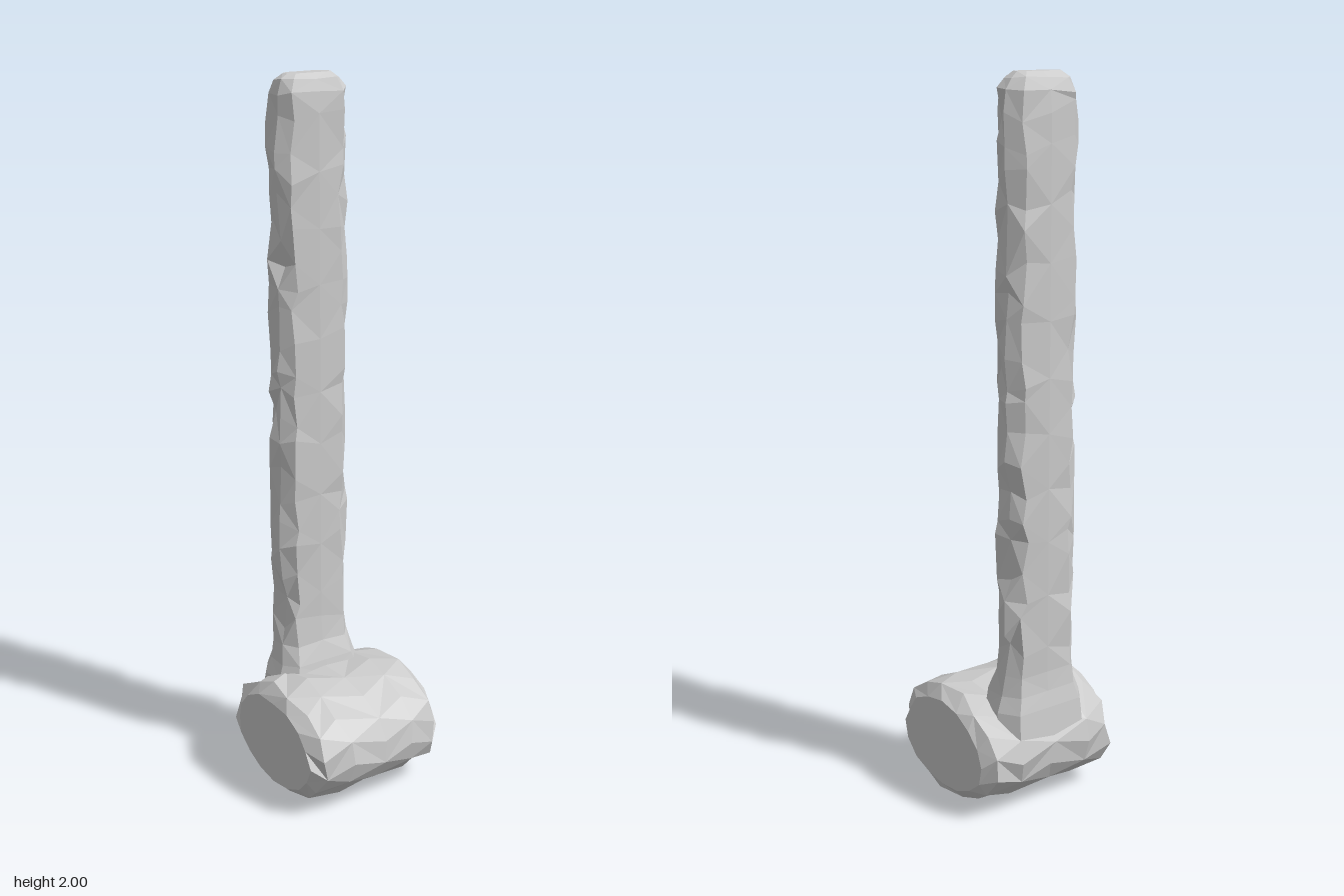
import * as THREE from 'three';

let seed = 11;
const rnd = () => {
  seed = (seed * 16807) % 2147483647;
  return seed / 2147483647;
};
const material = new THREE.MeshStandardMaterial({ color: 0xcccccc, flatShading: true });

// Skin a closed, capped solid over rings of equal point count
function loft(name, rings) {
  const n = rings[0].length, pos = [], idx = [];
  rings.forEach(r => r.forEach(p => pos.push(...p)));
  rings.slice(1).forEach((_, k) => {
    for (let j = 0; j < n; j++) {
      const a = k * n + j, b = k * n + (j + 1) % n, c = b + n, d = a + n;
      if ((j + k) % 2) idx.push(a, b, c, a, c, d);
      else idx.push(a, b, d, b, c, d);
    }
  });
  [0, rings.length - 1].forEach(k => {
    const centre = pos.length / 3;
    for (let i = 0; i < 3; i++) pos.push(rings[k].reduce((s, p) => s + p[i], 0) / n);
    for (let j = 0; j < n; j++) {
      const a = k * n + j, b = k * n + (j + 1) % n;
      idx.push(centre, ...(k ? [a, b] : [b, a]));
    }
  });
  const g = new THREE.BufferGeometry();
  g.setAttribute('position', new THREE.Float32BufferAttribute(pos, 3));
  g.setIndex(idx);
  g.computeVertexNormals();
  const mesh = new THREE.Mesh(g, material);
  mesh.name = name;
  return mesh;
}

// Barrel-shaped head: oval sections along x with chipped, rounded rims
function makeHead() {
  const stations = [[-0.22, 0.77], [-0.19, 0.95], [-0.11, 0.99], [0, 0.975], [0.11, 0.99], [0.19, 0.95], [0.22, 0.77]];
  const n = 16;
  return loft('head', stations.map(([x, s], k) => {
    const rim = Math.abs(x) > 0.15;
    return Array.from({ length: n }, (_, j) => {
      const a = (j + (k % 2) * 0.5) / n * Math.PI * 2;
      const r = s * (1 + (rnd() - 0.5) * (rim ? 0.09 : 0.025));
      const px = Math.abs(x) === 0.22 ? x : x + (rnd() - 0.5) * 0.025;
      return [px, 0.17 + 0.166 * r * Math.cos(a), 0.238 * r * Math.sin(a)];
    });
  }));
}

// Flat-faced handle section: half width, back z, front z; narrow edges are chipped
function handleRing(y, w, back, front, chip) {
  const c = (back + front) / 2, h = (front - back) / 2;
  const outline = [[0, 1], [0.72, 1], [0.98, 0.45], [1, -0.35], [0.74, -1],
    [0, -1], [-0.72, -1], [-1, -0.4], [-0.98, 0.4], [-0.74, 1]];
  return outline.map(([x, z]) => {
    const edge = Math.abs(x) > 0.5;
    const cut = edge ? 1 - rnd() * rnd() * chip : 1;
    const dy = edge ? (rnd() - 0.5) * chip * 0.18 : 0;
    return [x * w * cut, y + dy, c + z * h * (edge ? 1 - rnd() * chip * 0.6 : 1)];
  });
}

function makeHandle() {
  // Flared foot blending into the head
  const rings = [
    handleRing(0.2, 0.15, -0.222, -0.05, 0),
    handleRing(0.3, 0.14, -0.208, -0.04, 0),
    handleRing(0.345, 0.125, -0.198, -0.05, 0.05),
    handleRing(0.4, 0.117, -0.193, -0.068, 0.1),
  ];
  // Chipped shaft
  const steps = 20;
  for (let i = 1; i <= steps; i++) {
    rings.push(handleRing(0.4 + 1.5 * i / steps, 0.119, -0.194, -0.075, 0.33));
  }
  // Rounded tip
  rings.push(handleRing(1.955, 0.112, -0.188, -0.08, 0.1));
  rings.push(handleRing(1.985, 0.092, -0.176, -0.09, 0.05));
  rings.push(handleRing(2, 0.068, -0.155, -0.108, 0));
  return loft('handle', rings);
}

export function createModel() {
  const group = new THREE.Group();
  group.name = 'mallet';
  group.add(makeHead(), makeHandle());
  return group;
}
